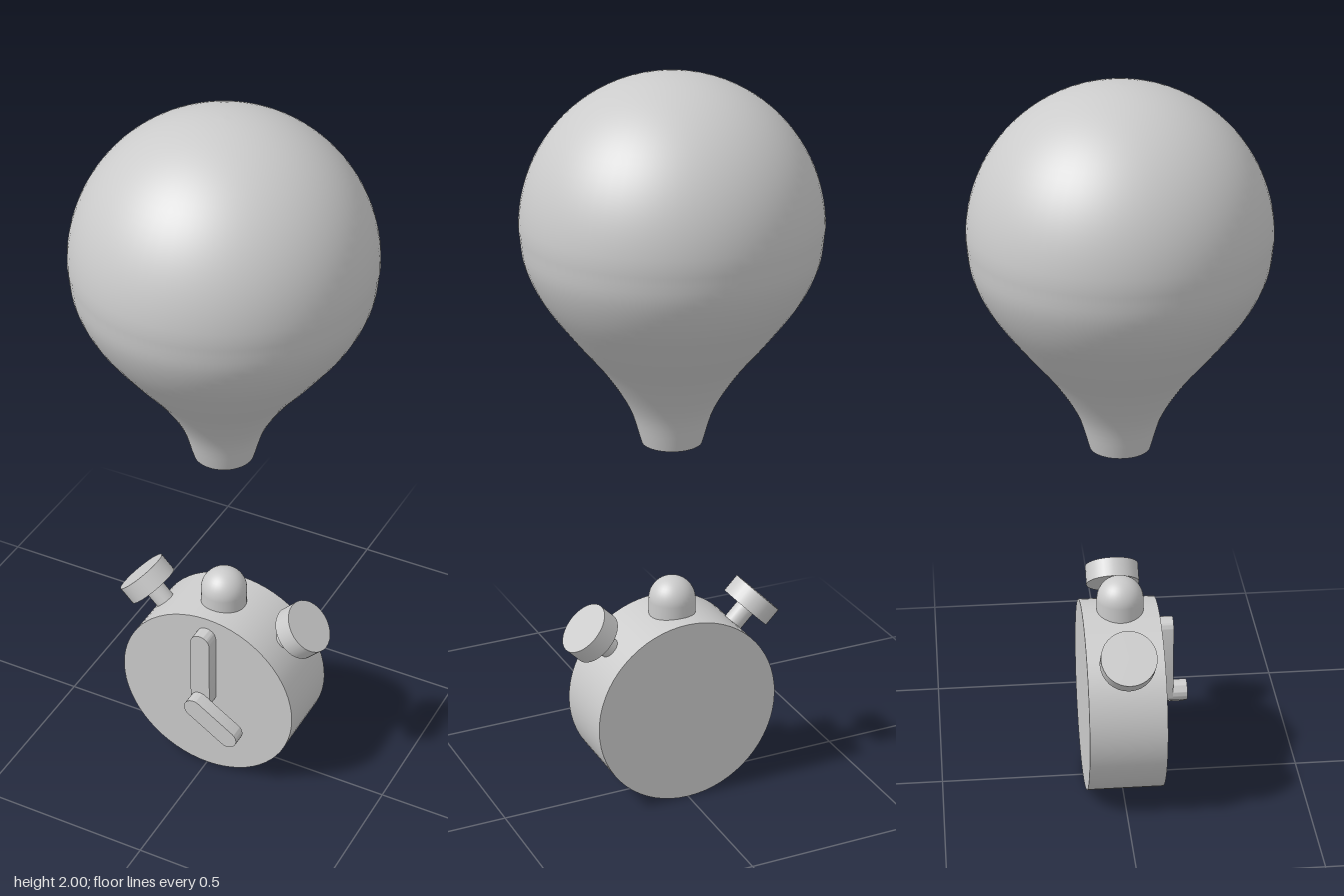
import * as THREE from 'three';
import { toCreasedNormals } from 'three/addons/utils/BufferGeometryUtils.js';

const grey = new THREE.MeshStandardMaterial({ color: 0xcccccc });
const CENTRE_Y = 0.2635, CASE_R = 0.2635, CASE_DEPTH = 0.21;

function part(name, geometry, parent) {
  const mesh = new THREE.Mesh(geometry, grey);
  mesh.name = name;
  parent.add(mesh);
  return mesh;
}

// Flat bar with round ends, pivoting at the origin and pointing up
function handGeometry(length, r, depth) {
  const s = new THREE.Shape();
  s.absarc(0, length, r, 0, Math.PI, false);
  s.absarc(0, 0, r, Math.PI, 2 * Math.PI, false);
  s.closePath();
  const g = new THREE.ExtrudeGeometry(s, { depth, bevelEnabled: false, curveSegments: 16 });
  return toCreasedNormals(g, 0.6);
}

function makeBalloon() {
  const balloon = new THREE.Group();
  balloon.name = 'balloon';
  const R = 0.39, midY = 1.61, neckY = 1.02, neckR = 0.08;

  // Envelope: tapering neck flowing into a hemisphere
  const taper = new THREE.CatmullRomCurve3([
    [neckR, neckY], [0.111, 1.117], [0.175, 1.22], [0.257, 1.32], [0.338, 1.43], [0.378, 1.52], [R, midY],
  ].map(([x, y]) => new THREE.Vector3(x, y, 0)));
  const profile = taper.getPoints(28).map(p => new THREE.Vector2(p.x, p.y));
  const steps = 24;
  for (let i = 1; i <= steps; i++) {
    const a = (i / steps) * Math.PI / 2;
    profile.push(new THREE.Vector2(i === steps ? 0 : R * Math.cos(a), midY + R * Math.sin(a)));
  }
  part('envelope', new THREE.LatheGeometry(profile, 64), balloon);

  // Flat closure under the neck
  const cap = part('neckCap', new THREE.CircleGeometry(neckR, 64), balloon);
  cap.rotation.x = Math.PI / 2;
  cap.position.y = neckY;
  return balloon;
}

function makeClock() {
  const clock = new THREE.Group();
  clock.name = 'clock';
  clock.position.y = CENTRE_Y;

  // Round case
  part('case', new THREE.CylinderGeometry(CASE_R, CASE_R, CASE_DEPTH, 64).rotateX(Math.PI / 2), clock);

  // Domed crown on top
  const crown = [new THREE.Vector2(0.064, 0.2)];
  for (let i = 0; i <= 12; i++) {
    const a = (i / 12) * Math.PI / 2;
    crown.push(new THREE.Vector2(i === 12 ? 0 : 0.064 * Math.cos(a), 0.297 + 0.064 * Math.sin(a)));
  }
  part('crown', new THREE.LatheGeometry(crown, 32), clock);

  // Push buttons leaning out to both sides
  for (const side of [1, -1]) {
    const button = new THREE.Group();
    button.name = side > 0 ? 'leftButton' : 'rightButton';
    button.rotation.z = -side * Math.PI / 4;
    part('stem', new THREE.CylinderGeometry(0.028, 0.028, 0.14, 24), button).position.y = 0.26;
    part('buttonHead', new THREE.CylinderGeometry(0.075, 0.075, 0.054, 32), button).position.y = 0.342;
    clock.add(button);
  }

  // Hands stacked on the dial
  const front = CASE_DEPTH / 2;
  part('minuteHand', handGeometry(0.202, 0.029, 0.04), clock).position.z = front;
  const hour = part('hourHand', handGeometry(0.123, 0.029, 0.04), clock);
  hour.position.z = front + 0.04;
  hour.rotation.z = -Math.atan2(0.103, -0.067);
  return clock;
}

export function createModel() {
  const model = new THREE.Group();
  model.name = 'balloonAndClock';
  model.add(makeBalloon(), makeClock());
  return model;
}
